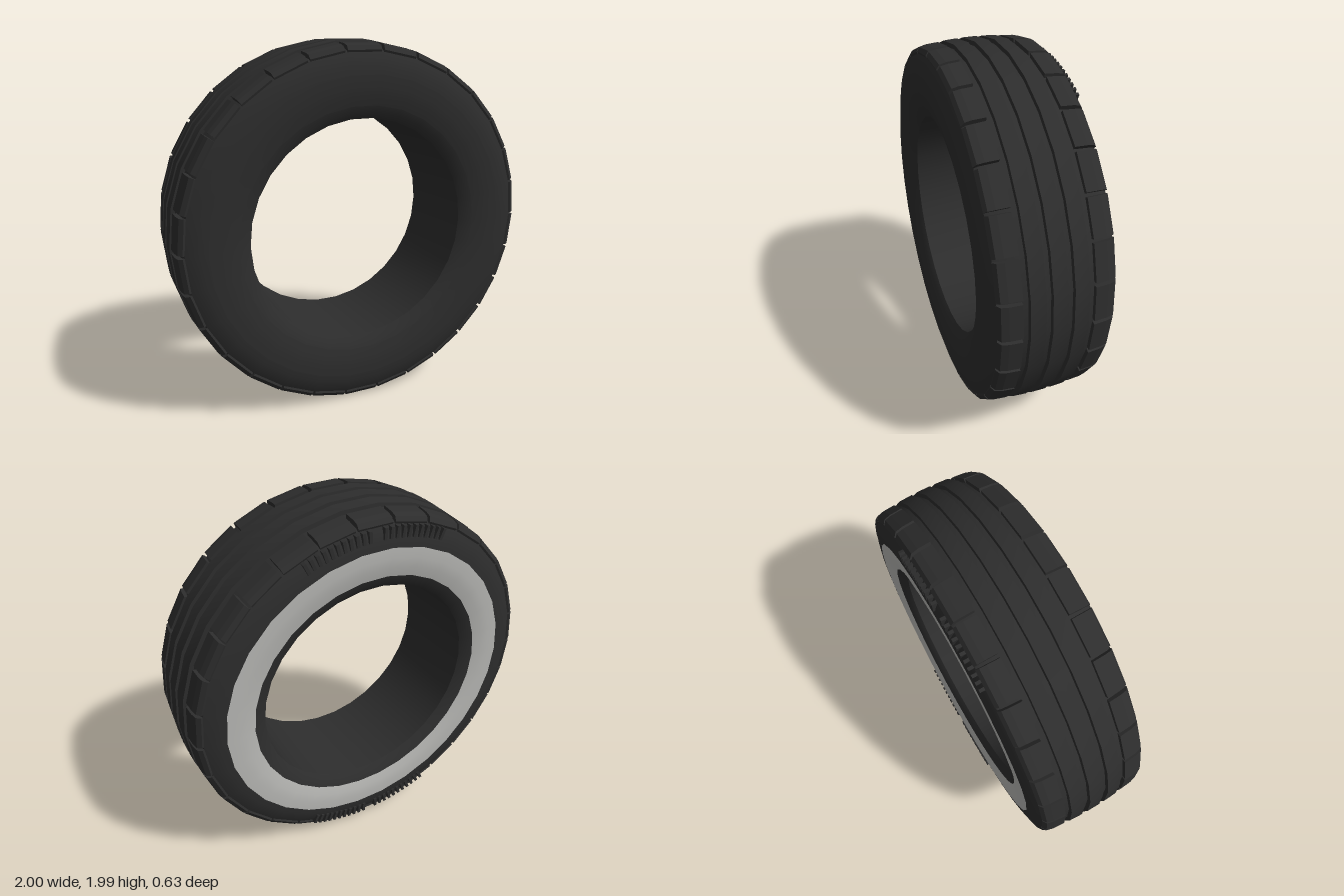
import * as THREE from 'three';
import { toCreasedNormals } from 'three/addons/utils/BufferGeometryUtils.js';

const SIDES = 30;
const STEP = (Math.PI * 2) / SIDES;

// Revolves [radius, z] points about the z axis
function revolve(points) {
  const profile = points.map(([r, z]) => new THREE.Vector2(r, z));
  const lathe = new THREE.LatheGeometry(profile, SIDES, Math.PI / 2);
  lathe.rotateX(Math.PI / 2);
  return toCreasedNormals(lathe, 0.55);
}

export function createModel() {
  const rubber = new THREE.MeshStandardMaterial({ color: 0x2d2d2d });
  rubber.name = 'black rubber';
  const white = new THREE.MeshStandardMaterial({ color: 0xb8b8b5 });
  white.name = 'white wall';

  const tire = new THREE.Group();
  tire.name = 'tire';
  const add = (name, geometry, material, parent = tire) => {
    const mesh = new THREE.Mesh(geometry, material);
    mesh.name = name;
    parent.add(mesh);
    return mesh;
  };

  // Half profile, from the centre of the tread out to the shoulder and sidewall
  const treadHalf = [
    [1.0, 0.037], [0.977, 0.039], [0.977, 0.067], [0.999, 0.069],
    [0.995, 0.143], [0.972, 0.145], [0.968, 0.18], [0.957, 0.265],
    [0.945, 0.285], [0.915, 0.299], [0.87, 0.31], [0.835, 0.313],
  ];
  const wall = [[0.835, 0.313], [0.78, 0.314], [0.73, 0.309], [0.68, 0.297]];
  const bead = [[0.68, 0.297], [0.645, 0.285], [0.612, 0.262]];
  const back = (points) => points.map(([r, z]) => [r, -z]).reverse();

  add('treadBase', revolve([...back(treadHalf), ...treadHalf]), rubber);
  add('frontSidewall', revolve(wall), rubber);
  add('backWhiteWall', revolve(back(wall)), white);
  add('beadAndInnerLiner', revolve([...bead, ...back(bead)]), rubber);

  // Shoulder tread blocks: side section extruded along the tangent
  const width = 0.186;
  const section = new THREE.Shape([
    [0.175, 0.95], [0.283, 0.935], [0.29, 0.95], [0.275, 0.972], [0.24, 0.981], [0.175, 0.986],
  ].map(([z, r]) => new THREE.Vector2(z, r)));
  const block = new THREE.ExtrudeGeometry(section, { depth: width, bevelEnabled: false });
  block.translate(0, 0, -width / 2);
  block.rotateY(-Math.PI / 2); // section x becomes z, extrusion runs along x
  const blocks = new THREE.Group();
  blocks.name = 'shoulderBlocks';
  tire.add(blocks);
  for (let i = 0; i < SIDES; i++) {
    const angle = i * STEP; // middle of a facet, measured from the top
    add('frontShoulderBlock', block, rubber, blocks).rotation.z = angle;
    add('backShoulderBlock', block, rubber, blocks).rotation.set(0, Math.PI, angle);
  }

  // Raised radial ribs on the back shoulder, two runs at top and two at bottom
  const rib = new THREE.BoxGeometry(0.016, 0.06, 0.03);
  rib.translate(0, 0.912, -0.3);
  const ribs = new THREE.Group();
  ribs.name = 'backShoulderRibs';
  tire.add(ribs);
  for (const end of [0, Math.PI]) {
    for (const side of [-1, 1]) {
      for (let i = 0; i < 11; i++) {
        add('shoulderRib', rib, rubber, ribs).rotation.z = end + side * (0.045 + i * 0.037);
      }
    }
  }

  tire.position.y = 0.995;
  const model = new THREE.Group();
  model.name = 'wheelTire';
  model.add(tire);
  return model;
}
